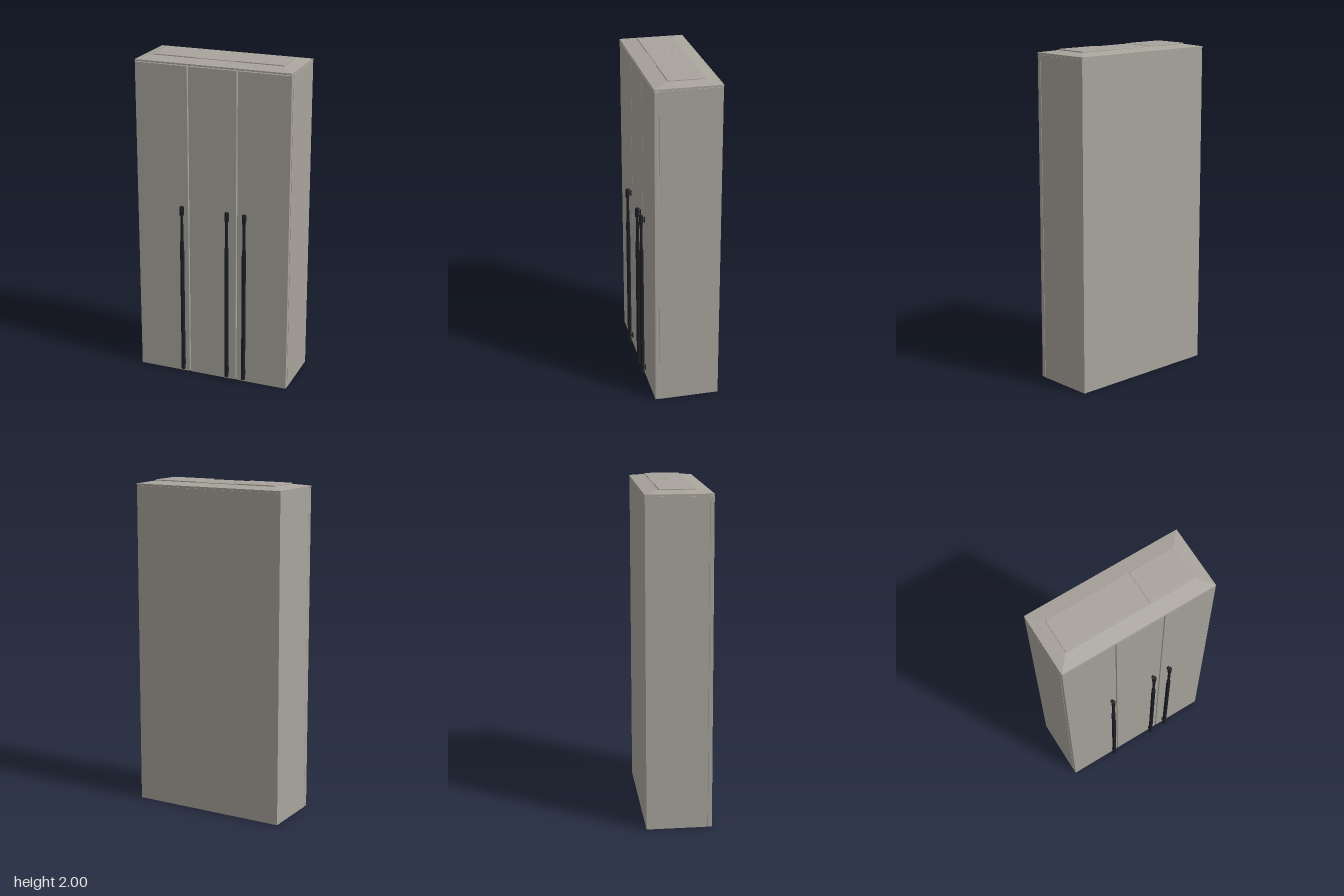
import * as THREE from 'three';
import { RoundedBoxGeometry } from 'three/addons/geometries/RoundedBoxGeometry.js';

export function createModel() {
  const group = new THREE.Group();
  const grey = new THREE.MeshStandardMaterial({ color: 0xa8a49c });
  grey.name = 'warmGrey';
  const black = new THREE.MeshStandardMaterial({ color: 0x1c1f24 });
  black.name = 'handleBlack';

  function add(parent, name, geometry, material, x, y, z) {
    const mesh = new THREE.Mesh(geometry, material);
    mesh.name = name;
    mesh.position.set(x, y, z);
    parent.add(mesh);
    return mesh;
  }

  // Box given by its limits on each axis
  function block(name, x0, x1, y0, y1, z0, z1, radius = 0) {
    const size = [x1 - x0, y1 - y0, z1 - z0];
    const geometry = radius
      ? new RoundedBoxGeometry(...size, 2, radius)
      : new THREE.BoxGeometry(...size);
    return add(group, name, geometry, grey, (x0 + x1) / 2, (y0 + y1) / 2, (z0 + z1) / 2);
  }

  // Carcass, with a slightly inset core behind the door gaps
  block('carcass', -0.483, 0.483, 0, 1.966, -0.212, 0.150);
  block('gapCore', -0.479, 0.479, 0.004, 1.972, -0.208, 0.156);

  // Three doors separated by narrow gaps
  const edges = [-0.483, -0.150, 0.157, 0.483];
  for (let i = 0; i < 3; i++) {
    const x0 = edges[i] + (i > 0 ? 0.003 : 0);
    const x1 = edges[i + 1] - (i < 2 ? 0.003 : 0);
    block('door', x0, x1, 0, 1.966, 0.153, 0.178, 0.002);
  }

  // Cornice slab and the sloping roof above it
  block('cornice', -0.483, 0.483, 1.969, 1.979, -0.214, 0.178);
  const slope = new THREE.BoxGeometry(2, 1, 2);
  const p = slope.attributes.position;
  for (let i = 0; i < p.count; i++) {
    const top = p.getY(i) > 0;
    const hx = top ? 0.407 : 0.483;
    const z = p.getZ(i) > 0 ? (top ? 0.089 : 0.178) : (top ? -0.130 : -0.214);
    p.setXYZ(i, Math.sign(p.getX(i)) * hx, top ? 1.993 : 1.979, z);
  }
  slope.computeVertexNormals();
  add(group, 'slopedRoof', slope, grey, 0, 0, 0);

  // Raised roof panel, a little lower in the middle
  block('roofPanelMiddle', -0.135, 0.125, 1.985, 1.997, -0.127, 0.083, 0.002);
  block('roofPanelRight', -0.404, -0.130, 1.985, 2.0, -0.127, 0.086, 0.003);
  block('roofPanelLeft', 0.120, 0.404, 1.985, 2.0, -0.127, 0.086, 0.003);

  // Long bar handles: thick grip, thin upper rod, two standoffs
  function handle(x) {
    const h = new THREE.Group();
    h.name = 'handle';
    h.position.set(x, 0, 0.2);
    const rod = (name, r, y0, y1) =>
      add(h, name, new THREE.CylinderGeometry(r, r, y1 - y0, 16), black, 0, (y0 + y1) / 2, 0);
    rod('grip', 0.0125, 0.025, 0.885);
    rod('upperRod', 0.0085, 0.885, 1.06);
    rod('topCap', 0.0125, 1.055, 1.11);
    for (const y of [0.065, 1.083]) {
      const mount = new THREE.CylinderGeometry(0.006, 0.006, 0.028, 12);
      add(h, 'standoff', mount, black, 0, y, -0.014).rotation.x = Math.PI / 2;
      const rose = new THREE.BoxGeometry(0.014, 0.034, 0.006);
      add(h, 'mountPlate', rose, black, 0, y, -0.02);
    }
    group.add(h);
  }
  [-0.187, 0.102, 0.212].forEach(handle);

  return group;
}
